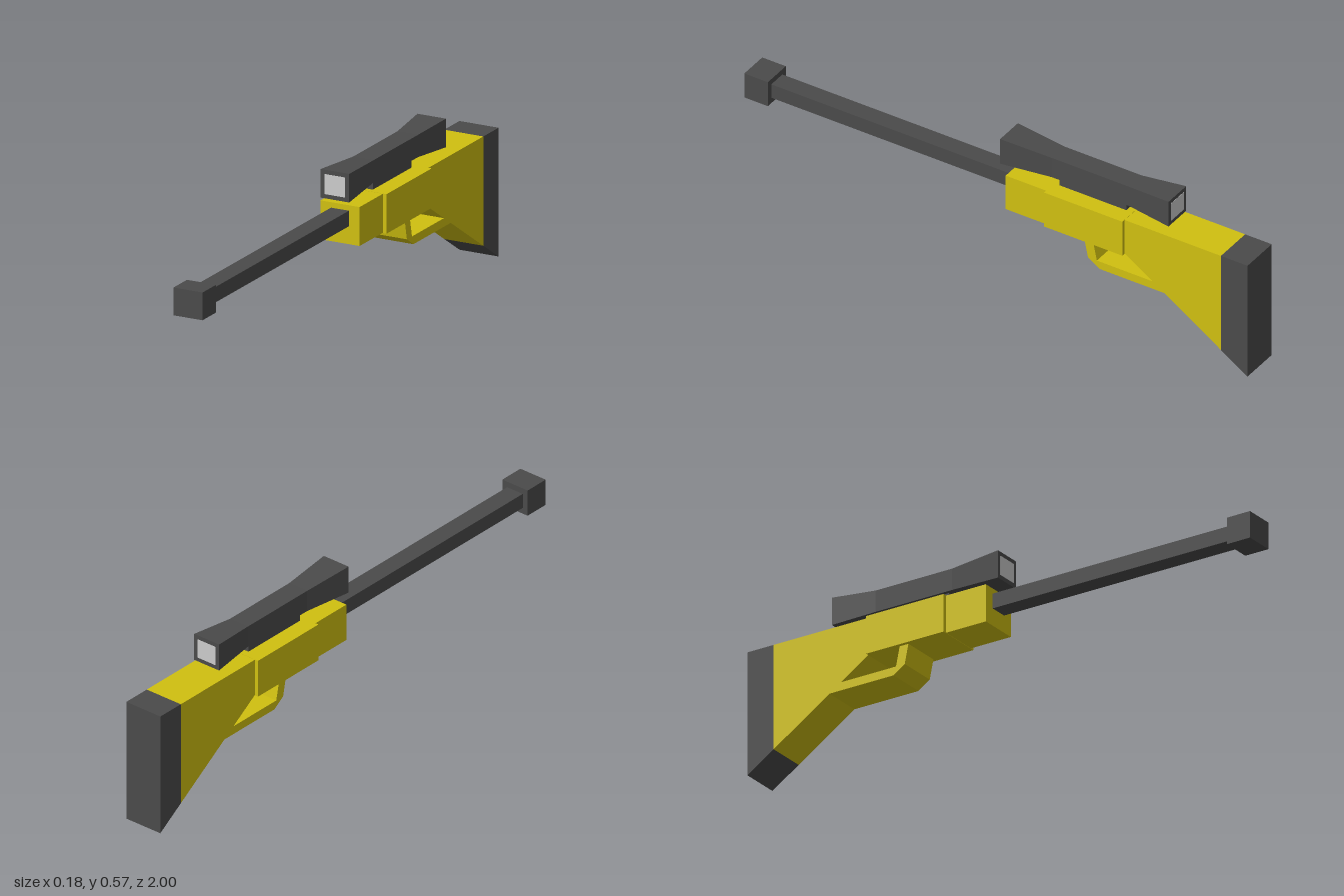
import * as THREE from 'three';

const material = (color) => new THREE.MeshStandardMaterial({ color, flatShading: true });

export function createModel() {
  const model = new THREE.Group();
  const yellow = material(0xd0c010);
  const dark = material(0x4a4a4a);
  const glass = material(0xcccccc);

  const add = (name, geometry, mat) => {
    const mesh = new THREE.Mesh(geometry, mat);
    mesh.name = name;
    model.add(mesh);
    return mesh;
  };

  // Box given by half width, y range and z range
  const block = (name, halfWidth, y0, y1, z0, z1, mat) =>
    add(name, new THREE.BoxGeometry(halfWidth * 2, y1 - y0, z1 - z0)
      .translate(0, (y0 + y1) / 2, (z0 + z1) / 2), mat);

  // Side profile of [z, y] points, extruded across the width
  const slab = (name, points, mat, width = 0.148) => {
    const shape = new THREE.Shape(points.map(([z, y]) => new THREE.Vector2(z, y)));
    const geometry = new THREE.ExtrudeGeometry(shape, { depth: width, bevelEnabled: false });
    add(name, geometry.translate(0, 0, -width / 2).rotateY(-Math.PI / 2), mat);
  };

  // Body, stock and butt
  slab('stock', [[-0.045, 0.45], [-0.895, 0.45], [-0.895, 0.068], [-0.515, 0.314], [-0.045, 0.314]], yellow);
  slab('buttPad', [[-0.895, 0.45], [-1, 0.45], [-1, 0], [-0.895, 0.068]], dark);
  block('receiver', 0.088, 0.313, 0.451, -0.515, -0.205, yellow);

  // Guard strip under the receiver, running back to the sloped stock
  slab('triggerGuard', [
    [-0.355, 0.314], [-0.37, 0.243], [-0.415, 0.213], [-0.671, 0.213],
    [-0.625, 0.243], [-0.405, 0.243], [-0.39, 0.314],
  ], yellow);

  // Barrel and muzzle
  block('barrel', 0.034, 0.377, 0.431, -0.05, 0.91, dark);
  block('muzzle', 0.055, 0.355, 0.452, 0.907, 1, dark);

  // Scope mount
  block('scopeMount', 0.025, 0.445, 0.49, -0.49, -0.225, dark);

  // Scope tube: straight waist, flared to both ends
  const scope = new THREE.BoxGeometry(1, 1, 3, 1, 1, 3);
  const pos = scope.attributes.position;
  const stations = [-0.675, -0.51, -0.205, -0.01];
  for (let i = 0; i < pos.count; i++) {
    const k = Math.round(pos.getZ(i) + 1.5);
    const end = k === 0 || k === 3;
    pos.setXYZ(i,
      Math.sign(pos.getX(i)) * (end ? 0.054 : 0.039),
      0.523 + Math.sign(pos.getY(i)) * (end ? 0.05 : 0.039),
      stations[k]);
  }
  scope.computeVertexNormals();
  add('scope', scope, dark);

  // Lenses at both ends of the scope
  block('frontLens', 0.039, 0.488, 0.558, -0.02, -0.009, glass);
  block('rearLens', 0.039, 0.488, 0.558, -0.676, -0.665, glass);

  return model;
}
